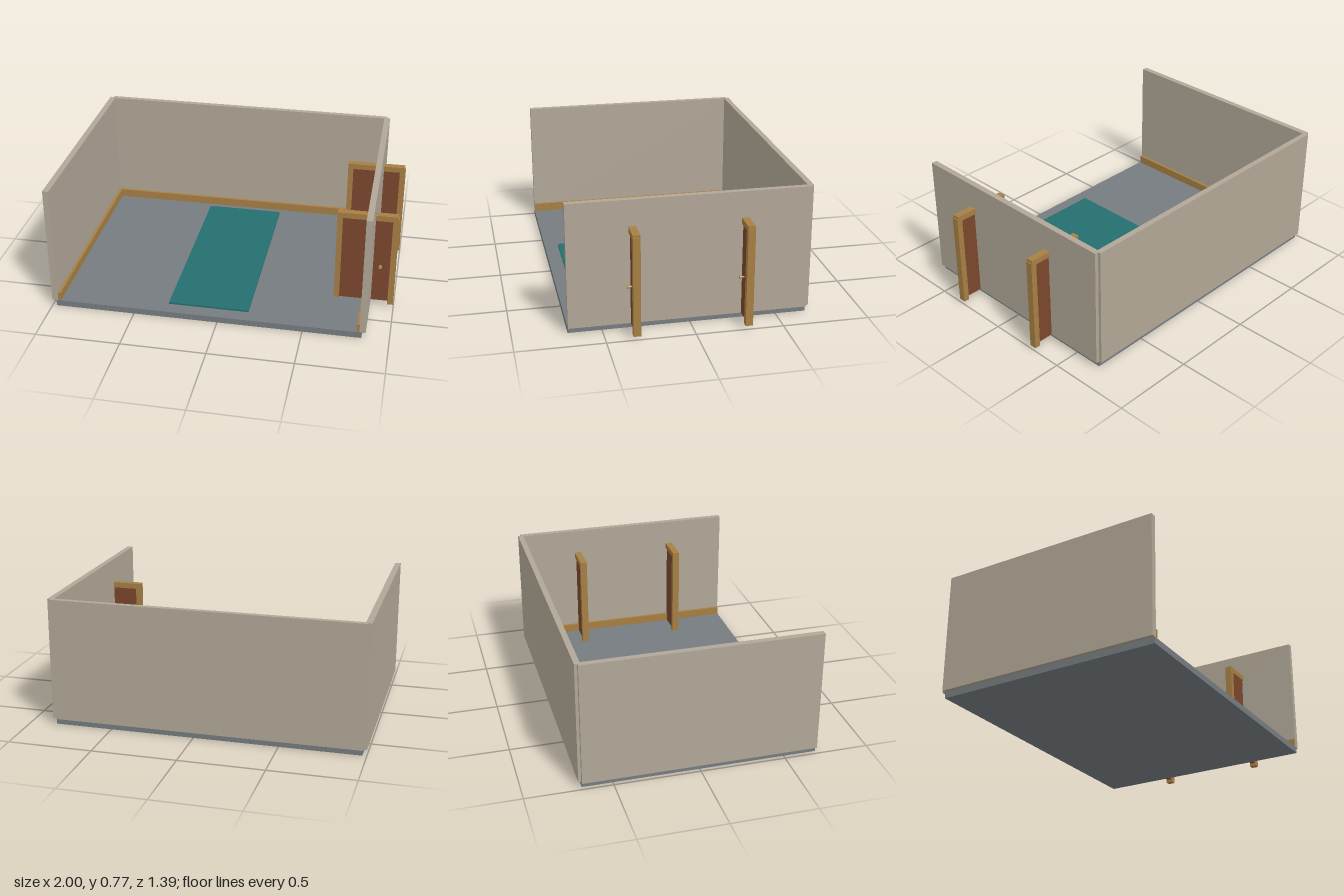
import * as THREE from 'three';

const material = (name, color) => {
  const m = new THREE.MeshStandardMaterial({ color });
  m.name = name;
  return m;
};

export function createModel() {
  const wall = material('beige plaster', 0xb1a797);
  const stone = material('grey floor', 0x757c80);
  const wood = material('oak trim', 0xa67f43);
  const panel = material('brown door', 0x7b462d);
  const teal = material('teal rug', 0x266f6f);
  const brass = material('brass', 0xb48f55);

  const room = new THREE.Group();
  room.name = 'room';

  // Box given by its low and high limits on each axis
  const box = (parent, name, mat, [x0, x1], [y0, y1], [z0, z1]) => {
    const mesh = new THREE.Mesh(new THREE.BoxGeometry(x1 - x0, y1 - y0, z1 - z0), mat);
    mesh.position.set((x0 + x1) / 2, (y0 + y1) / 2, (z0 + z1) / 2);
    mesh.name = name;
    parent.add(mesh);
  };

  // Floor slab and rug
  const floorY = 0.037;
  box(room, 'floor', stone, [-0.975, 0.841], [0, floorY], [-0.675, 0.692]);
  box(room, 'rug', teal, [-0.306, 0.172], [floorY, 0.048], [-0.595, 0.608]);

  // Three walls, open at the front
  const wallY = [floorY, 0.768];
  box(room, 'backWall', wall, [-0.978, 0.842], wallY, [-0.694, -0.661]);
  box(room, 'rightWall', wall, [-1, -0.964], wallY, [-0.677, 0.692]);
  box(room, 'leftWall', wall, [0.829, 0.864], wallY, [-0.677, 0.692]);

  // Baseboards along the walls
  const boardY = [floorY, 0.088];
  box(room, 'backBaseboard', wood, [-0.964, 0.829], boardY, [-0.661, -0.643]);
  box(room, 'rightBaseboard', wood, [-0.964, -0.946], boardY, [-0.643, 0.69]);
  box(room, 'leftBaseboard', wood, [0.813, 0.829], boardY, [-0.643, 0.69]);

  // Two doors standing across the left wall
  for (const [name, z] of [['backDoor', -0.302], ['frontDoor', 0.329]]) {
    const door = new THREE.Group();
    door.name = name;
    door.position.z = z;
    const depth = [-0.021, 0.021];
    box(door, 'innerJamb', wood, [0.643, 0.675], [0.02, 0.59], depth);
    box(door, 'outerJamb', wood, [0.963, 0.998], [0.02, 0.598], depth);
    box(door, 'header', wood, [0.643, 0.992], [0.58, 0.614], depth);
    box(door, 'doorPanel', panel, [0.675, 0.963], [0.039, 0.58], [-0.012, 0.012]);

    // Knob on a short stem
    const stem = new THREE.Mesh(new THREE.CylinderGeometry(0.005, 0.005, 0.014, 12), brass);
    stem.name = 'knobStem';
    stem.rotation.x = Math.PI / 2;
    stem.position.set(0.908, 0.28, 0.019);
    const knob = new THREE.Mesh(new THREE.CylinderGeometry(0.01, 0.01, 0.013, 16), brass);
    knob.name = 'knob';
    knob.rotation.x = Math.PI / 2;
    knob.position.set(0.908, 0.28, 0.031);
    door.add(stem, knob);
    room.add(door);
  }
  return room;
}
